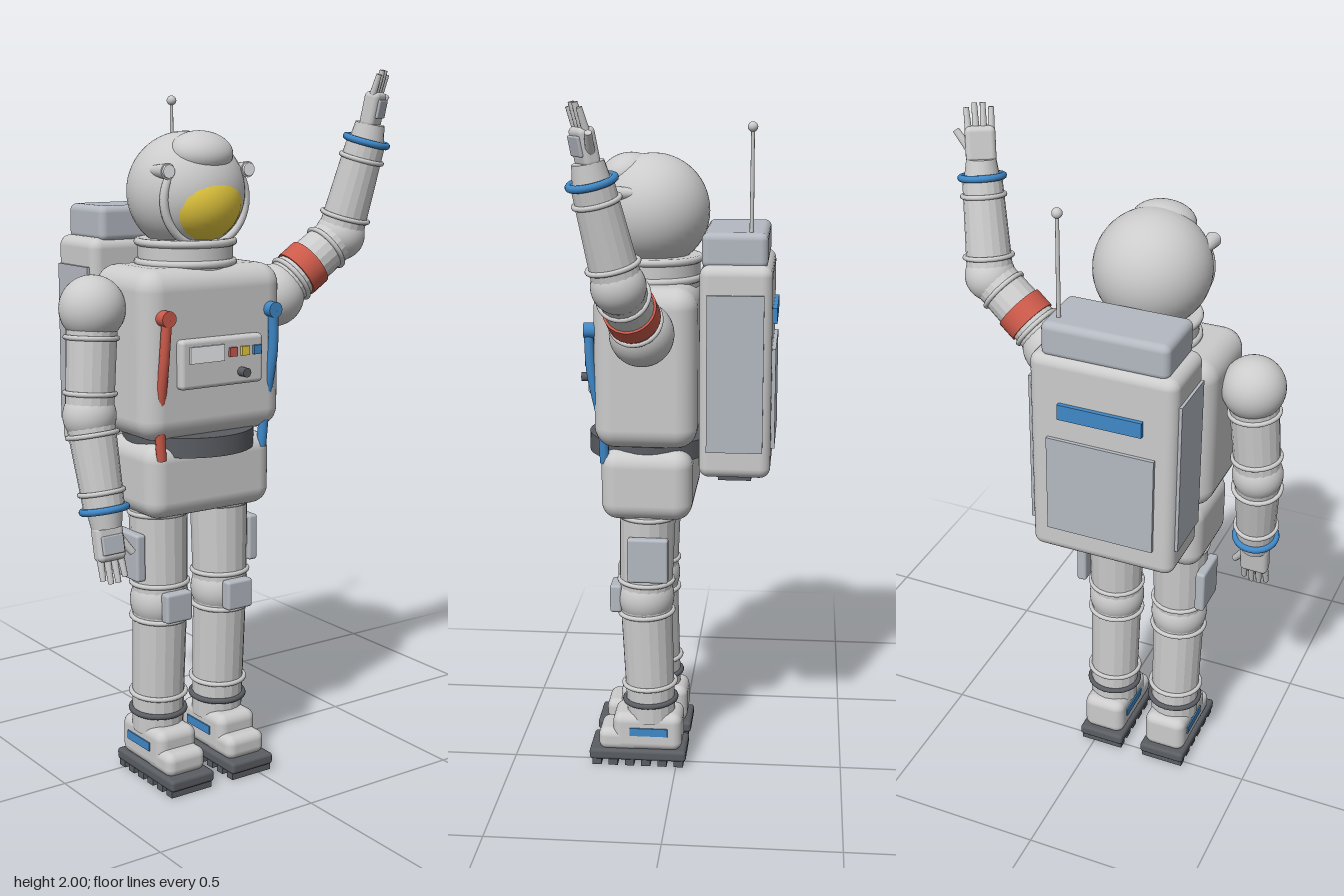
import * as THREE from 'three';
import { RoundedBoxGeometry } from 'three/addons/geometries/RoundedBoxGeometry.js';

const mat = (color, flat = false) => new THREE.MeshStandardMaterial({ color, flatShading: flat });
const GREY = mat(0xcccccc), FACET = mat(0xcccccc, true), PANEL = mat(0xb4b9c1), DARK = mat(0x5a5d62);
const BLUE = mat(0x3f88c8), RED = mat(0xcc5a4a), YELLOW = mat(0xe8cc40), WHITE = mat(0xf0f2f5);
const V = (x, y, z) => new THREE.Vector3(x, y, z);
const UP = V(0, 1, 0);
const CX = -0.13, CZ = 0.085; // centre of the body

function add(parent, name, geo, material, x = 0, y = 0, z = 0) {
  const m = new THREE.Mesh(geo, material);
  m.name = name;
  m.position.set(x, y, z);
  parent.add(m);
  return m;
}
const box = (w, h, d) => new THREE.BoxGeometry(w, h, d);
const rbox = (w, h, d, r) => new RoundedBoxGeometry(w, h, d, 4, r);
const ball = (r) => new THREE.SphereGeometry(r, 40, 28);
const cyl = (r0, r1, h, n = 20) => new THREE.CylinderGeometry(r1, r0, h, n);

// Tapered tube from a to b
function limb(parent, name, a, b, r0, r1, material = FACET, n = 18) {
  const d = b.clone().sub(a);
  const m = add(parent, name, cyl(r0, r1, d.length(), n), material);
  m.position.copy(a).addScaledVector(d, 0.5);
  m.quaternion.setFromUnitVectors(UP, d.normalize());
  return m;
}
// Ring around the line a-b at fraction t
function ring(parent, name, a, b, t, r, tube = 0.007, material = GREY) {
  const m = add(parent, name, new THREE.TorusGeometry(r, tube, 10, 32), material);
  m.position.copy(a).lerp(b, t);
  m.quaternion.setFromUnitVectors(V(0, 0, 1), b.clone().sub(a).normalize());
}

function torso(g) {
  add(g, 'torso', rbox(0.46, 0.465, 0.295, 0.06), GREY, CX, 1.243, CZ);
  add(g, 'pelvis', rbox(0.41, 0.21, 0.265, 0.05), GREY, CX, 0.895, CZ);
  add(g, 'waistBelt', cyl(0.185, 0.185, 0.055, 40), DARK, CX, 0.992, CZ);
  // Chest control panel
  add(g, 'chestPanel', rbox(0.27, 0.135, 0.035, 0.012), GREY, CX, 1.222, 0.24);
  add(g, 'display', box(0.11, 0.045, 0.01), WHITE, -0.185, 1.248, 0.259);
  [RED, YELLOW, BLUE].forEach((m, i) => add(g, 'button', box(0.025, 0.025, 0.012), m, -0.1 + i * 0.04, 1.247, 0.26));
  add(g, 'knob', cyl(0.013, 0.013, 0.035), DARK, -0.07, 1.19, 0.268).rotation.x = Math.PI / 2;
  // Hoses with their sockets
  for (const [s, m] of [[-1, RED], [1, BLUE]]) {
    const path = new THREE.CatmullRomCurve3([V(CX + s * 0.175, 1.35, 0.247), V(CX + s * 0.18, 1.23, 0.24),
      V(CX + s * 0.176, 1.08, 0.212), V(CX + s * 0.168, 0.96, 0.206)]);
    add(g, 'hose', new THREE.TubeGeometry(path, 24, 0.014, 10), m);
    add(g, 'hoseSocket', cyl(0.022, 0.022, 0.04), m, CX + s * 0.175, 1.35, 0.24).rotation.x = Math.PI / 2;
  }
}

function helmet(g) {
  add(g, 'neck', cyl(0.132, 0.132, 0.09, 36), GREY, CX, 1.5, 0.075);
  for (const y of [1.48, 1.535]) {
    add(g, 'neckRing', new THREE.TorusGeometry(0.132, 0.011, 10, 40), GREY, CX, y, 0.075).rotation.x = Math.PI / 2;
  }
  add(g, 'helmet', ball(0.163), GREY, CX, 1.67, 0.078);
  add(g, 'visor', ball(1), YELLOW, CX, 1.65, 0.135).scale.set(0.125, 0.117, 0.112);
  const rim = add(g, 'visorRim', new THREE.TorusGeometry(0.133, 0.012, 10, 48), GREY, CX, 1.652, 0.172);
  rim.scale.y = 0.95;
  const cap = add(g, 'sunShade', ball(1), GREY, CX, 1.776, 0.153);
  cap.scale.set(0.09, 0.057, 0.078);
  cap.rotation.x = 0.25;
  for (const s of [-1, 1]) {
    const x = CX + s * 0.13;
    limb(g, 'lamp', V(x, 1.73, 0.1), V(x, 1.73, 0.187), 0.012, 0.022, GREY);
    limb(g, 'lampLens', V(x, 1.73, 0.186), V(x, 1.73, 0.194), 0.018, 0.018, WHITE);
  }
}

function backpack(g) {
  const z = -0.17;
  add(g, 'pack', rbox(0.42, 0.61, 0.205, 0.03), GREY, CX, 1.235, z);
  add(g, 'packTop', rbox(0.36, 0.1, 0.185, 0.02), PANEL, CX, 1.578, -0.165);
  for (const s of [-1, 1]) add(g, 'packSidePanel', box(0.016, 0.45, 0.16), PANEL, CX + s * 0.21, 1.235, z);
  add(g, 'packBackPanel', box(0.31, 0.29, 0.016), PANEL, CX, 1.155, -0.275);
  add(g, 'packStripe', box(0.24, 0.045, 0.02), BLUE, CX, 1.388, -0.275);
  for (const i of [-1, 0, 1]) add(g, 'packVent', box(0.09, 0.03, 0.095), DARK, CX + i * 0.115, 0.928, z);
  add(g, 'antenna', cyl(0.006, 0.005, 0.3, 10), GREY, 0.015, 1.77, -0.21);
  add(g, 'antennaTip', ball(0.014), GREY, 0.015, 1.915, -0.21);
}

function leg(g, s) {
  const x = CX + s * 0.104;
  const hip = V(x, 0.83, 0.088), knee = V(x, 0.53, 0.095), ankle = V(x, 0.14, 0.08);
  limb(g, 'thigh', hip, knee, 0.084, 0.078);
  add(g, 'knee', ball(0.085), GREY, x, 0.53, 0.095);
  limb(g, 'shin', knee, ankle, 0.078, 0.073);
  ring(g, 'thighRing', hip, knee, 0.14, 0.082);
  ring(g, 'thighRing', hip, knee, 0.82, 0.08);
  ring(g, 'shinRing', knee, ankle, 0.12, 0.08);
  ring(g, 'shinRing', knee, ankle, 0.71, 0.078);
  ring(g, 'ankleRing', knee, ankle, 0.845, 0.077, 0.008, DARK);
  add(g, 'kneePad', rbox(0.085, 0.085, 0.035, 0.008), PANEL, x, 0.53, 0.182);
  add(g, 'thighPocket', rbox(0.03, 0.135, 0.12, 0.008), PANEL, x + s * 0.088, 0.672, 0.08);
  // Boot, sole and treads
  add(g, 'boot', rbox(0.132, 0.12, 0.21, 0.028), GREY, x, 0.106, 0.088);
  add(g, 'bootToe', rbox(0.13, 0.07, 0.13, 0.025), GREY, x, 0.08, 0.172);
  add(g, 'bootStripe', box(0.14, 0.025, 0.115), BLUE, x, 0.112, 0.083);
  add(g, 'sole', rbox(0.145, 0.034, 0.295, 0.01), DARK, x, 0.035, 0.117);
  for (let i = 0; i < 6; i++) add(g, 'tread', box(0.135, 0.022, 0.028), DARK, x, 0.011, -0.008 + i * 0.05);
}

// Hand pointing along dir; face sets which side carries the plate
function hand(g, wrist, dir, across, face) {
  const h = new THREE.Group();
  h.name = 'hand';
  const y = dir.clone().normalize();
  const x = across.clone().addScaledVector(y, -across.dot(y)).normalize();
  h.quaternion.setFromRotationMatrix(new THREE.Matrix4().makeBasis(x, y, x.clone().cross(y)));
  h.position.copy(wrist);
  add(h, 'cuff', cyl(0.05, 0.042, 0.05), GREY, 0, 0.02, 0);
  add(h, 'palm', rbox(0.085, 0.1, 0.045, 0.015), GREY, 0, 0.085, 0);
  add(h, 'handPlate', rbox(0.066, 0.052, 0.012, 0.004), PANEL, 0, 0.09, face * 0.023);
  for (let i = 0; i < 4; i++) {
    const f = (i - 1.5) * 0.021, len = i === 0 || i === 3 ? 0.185 : 0.197;
    limb(h, 'finger', V(f, 0.12, 0), V(f * 1.1, len, face * 0.008), 0.0105, 0.008, GREY, 10);
  }
  limb(h, 'thumb', V(0.03, 0.07, 0), V(0.066, 0.125, face * 0.01), 0.013, 0.01, GREY, 10);
  g.add(h);
}

function arm(g, shoulder, elbow, wrist, across, face) {
  add(g, 'shoulder', ball(0.09), GREY, ...shoulder.toArray());
  limb(g, 'upperArm', shoulder, elbow, 0.07, 0.066);
  add(g, 'elbow', ball(0.073), GREY, ...elbow.toArray());
  limb(g, 'forearm', elbow, wrist, 0.067, 0.056);
  ring(g, 'upperArmRing', shoulder, elbow, 0.27, 0.07);
  ring(g, 'upperArmRing', shoulder, elbow, 0.79, 0.068);
  ring(g, 'forearmRing', elbow, wrist, 0.2, 0.068);
  ring(g, 'forearmRing', elbow, wrist, 0.8, 0.06);
  ring(g, 'wristRing', elbow, wrist, 0.98, 0.06, 0.01, BLUE);
  hand(g, wrist, wrist.clone().sub(elbow).multiply(V(0.6, 1, 0.8)), across, face);
}

export function createModel() {
  const root = new THREE.Group();
  root.name = 'astronaut';
  const part = (name, build) => {
    const g = new THREE.Group();
    g.name = name;
    build(g);
    root.add(g);
  };
  part('body', torso);
  part('head', helmet);
  part('backpack', backpack);
  part('rightLeg', (g) => leg(g, -1));
  part('leftLeg', (g) => leg(g, 1));
  part('rightArm', (g) => arm(g, V(-0.432, 1.37, 0.078), V(-0.455, 1.085, 0.095), V(-0.445, 0.83, 0.15), V(1, 0, 0), -1));
  part('leftArm', (g) => {
    const a = V(0.17, 1.365, 0.082), b = V(0.385, 1.53, 0.118);
    arm(g, a, b, V(0.43, 1.806, 0.178), V(1, 0, -0.6), 1);
    // Red band on the raised arm
    limb(g, 'armBand', a.clone().lerp(b, 0.34), a.clone().lerp(b, 0.55), 0.074, 0.074, RED, 24);
  });
  return root;
}
